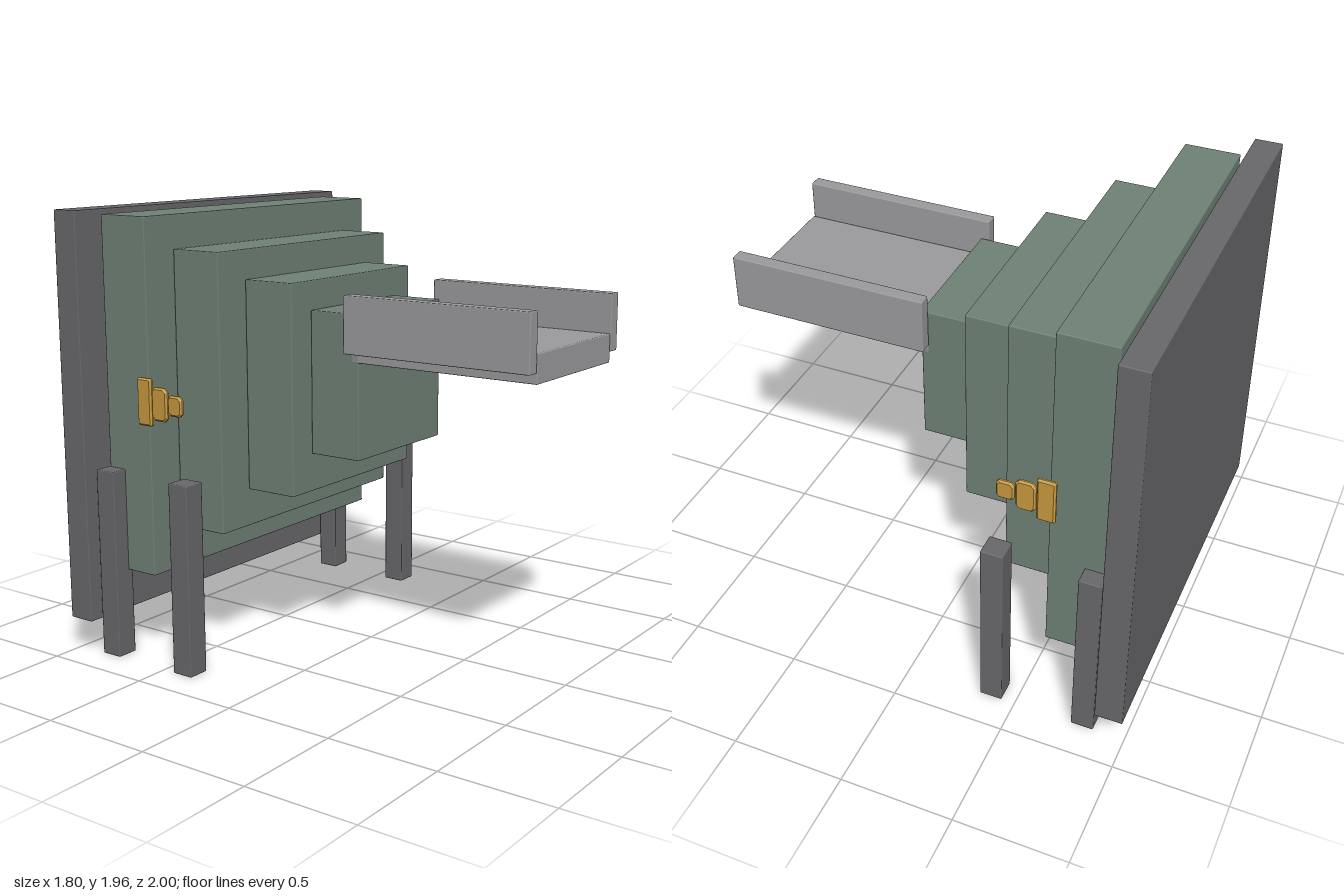
import * as THREE from 'three';
import { RoundedBoxGeometry } from 'three/addons/geometries/RoundedBoxGeometry.js';

function material(name, color) {
  const m = new THREE.MeshStandardMaterial({ color });
  m.name = name;
  return m;
}

export function createModel() {
  const group = new THREE.Group();
  const green = material('sage green', 0x708276);
  const dark = material('dark grey', 0x69686b);
  const light = material('light grey', 0x9c9c9f);
  const gold = material('gold', 0xc99a3f);

  // Slightly eased box given by its extents on each axis
  function box(name, mat, [x0, x1], [y0, y1], [z0, z1], radius = 0.005) {
    const geo = new RoundedBoxGeometry(x1 - x0, y1 - y0, z1 - z0, 1, radius);
    const mesh = new THREE.Mesh(geo, mat);
    mesh.position.set((x0 + x1) / 2, (y0 + y1) / 2, (z0 + z1) / 2);
    mesh.name = name;
    group.add(mesh);
  }

  // Back panel
  box('backPanel', dark, [-0.9, 0.9], [0.155, 1.957], [-1, -0.877]);

  // Stepped body, largest tier at the back: half width, bottom, top, back, front
  [
    [0.775, 0.386, 1.936, -0.85, -0.604],
    [0.607, 0.575, 1.79, -0.598, -0.352],
    [0.439, 0.743, 1.662, -0.346, -0.098],
    [0.312, 0.912, 1.537, -0.094, 0.155],
  ].forEach(([w, y0, y1, z0, z1], i) =>
    box('bodyTier' + (i + 1), green, [-w, w], [y0, y1], [z0, z1]));

  // Tray floor
  box('trayFloor', light, [-0.312, 0.312], [1.332, 1.455], [0.12, 1]);

  // Flat hexagonal-edged ornament plate with bevelled rim, facing sideways
  function ornament(side, [y0, y1], [z0, z1], cut) {
    const b = 0.008, h = (y1 - y0) / 2 - b, w = (z1 - z0) / 2 - b;
    const shape = new THREE.Shape([
      [-w + cut, -h], [w - cut, -h], [w, -h + cut], [w, h - cut],
      [w - cut, h], [-w + cut, h], [-w, h - cut], [-w, -h + cut],
    ].map(([x, y]) => new THREE.Vector2(x, y)));
    const geo = new THREE.ExtrudeGeometry(shape, {
      depth: 0.008, bevelThickness: b, bevelSize: b, bevelSegments: 1,
    });
    geo.translate(0, 0, -0.004);
    geo.rotateY(Math.PI / 2);
    const mesh = new THREE.Mesh(geo, gold);
    mesh.position.set(side * 0.8, (y0 + y1) / 2, (z0 + z1) / 2);
    mesh.name = 'sideOrnament';
    group.add(mesh);
  }

  for (const s of [1, -1]) {
    const span = (a, b) => (s > 0 ? [a, b] : [-b, -a]);
    // Tray rails and legs
    box('trayRail', light, span(0.316, 0.375), [1.377, 1.622], [0.12, 1]);
    box('frontLeg', dark, span(0.75, 0.85), [0, 0.842], [-0.44, -0.34]);
    box('backLeg', dark, span(0.75, 0.85), [0, 0.842], [-0.86, -0.76]);
    // Three stepped ornament plates
    ornament(s, [1.06, 1.265], [-0.64, -0.56], 0.002);
    ornament(s, [1.088, 1.232], [-0.558, -0.472], 0.012);
    ornament(s, [1.118, 1.206], [-0.468, -0.39], 0.01);
  }
  return group;
}
